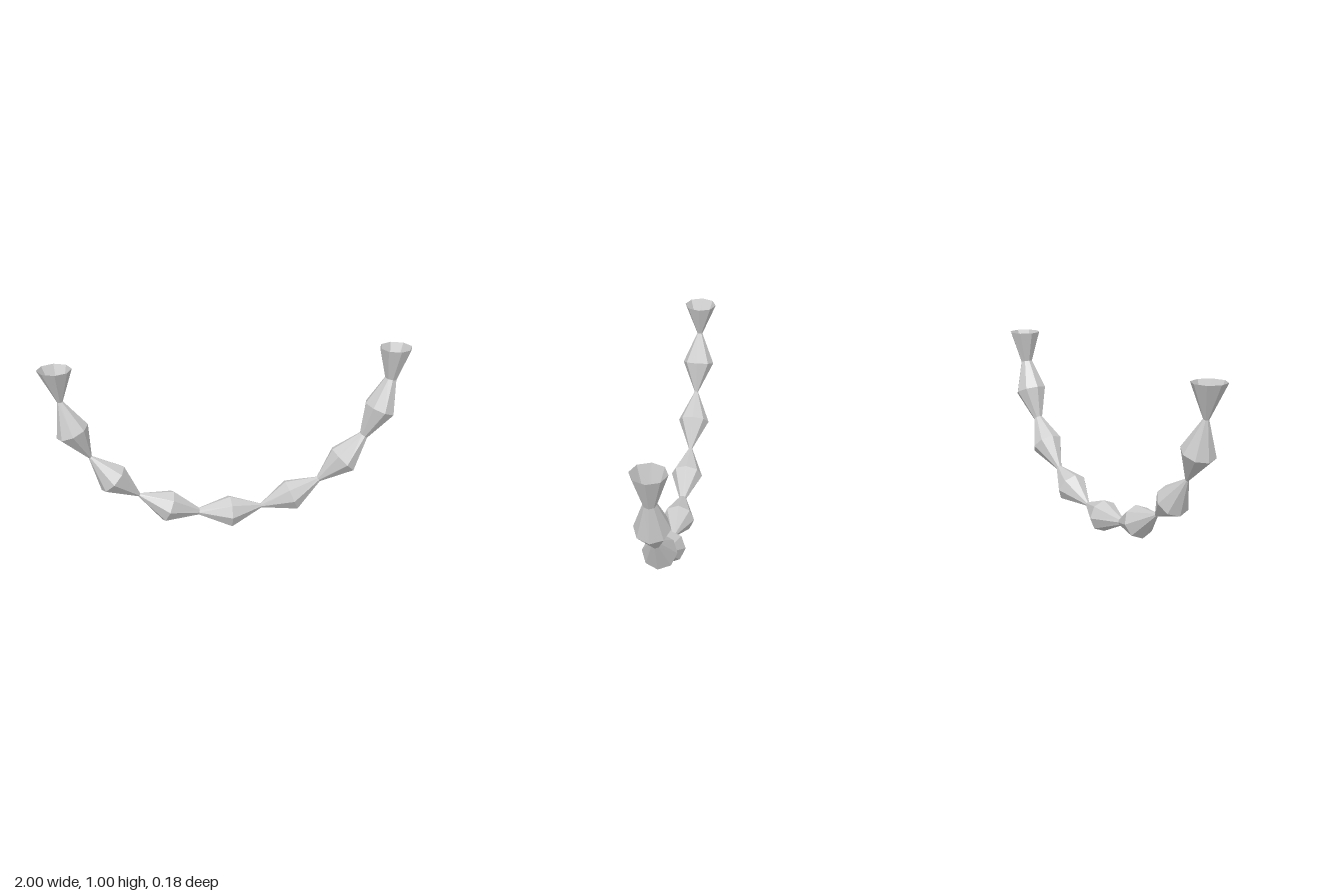
import * as THREE from 'three';

const SIDES = 8;
const ARC_RADIUS = 0.91;
const WIDE = 0.09;
// radii of the pinched rings, from the model's right (-x) to its left (+x)
const PINCHES = [0.015, 0.01, 0.01, 0.02, 0.012, 0.016, 0.026, 0.033];

// Open tube along a half circle, alternating wide and pinched octagonal rings
function beadedArc() {
  const rings = PINCHES.length * 2;
  const positions = [];
  const indices = [];
  for (let i = 0; i <= rings; i++) {
    const t = (i / rings) * Math.PI;
    const r = i % 2 ? PINCHES[(i - 1) / 2] : WIDE;
    for (let j = 0; j < SIDES; j++) {
      const a = (j / SIDES) * Math.PI * 2;
      const d = ARC_RADIUS + r * Math.cos(a);
      positions.push(-Math.cos(t) * d, 1 - Math.sin(t) * d, r * Math.sin(a));
    }
  }
  for (let i = 0; i < rings; i++) {
    for (let j = 0; j < SIDES; j++) {
      const k = (j + 1) % SIDES;
      const a = i * SIDES + j, b = a + SIDES;
      const d = i * SIDES + k, c = d + SIDES;
      indices.push(a, b, c, a, c, d);
    }
  }
  const geometry = new THREE.BufferGeometry();
  geometry.setAttribute('position', new THREE.Float32BufferAttribute(positions, 3));
  geometry.setIndex(indices);
  geometry.computeVertexNormals();
  return geometry;
}

export function createModel() {
  const group = new THREE.Group();
  group.name = 'beadedArch';
  const material = new THREE.MeshStandardMaterial({
    color: 0xcccccc, flatShading: true, side: THREE.DoubleSide,
  });
  const tube = new THREE.Mesh(beadedArc(), material);
  tube.name = 'beadedTube';
  group.add(tube);
  return group;
}
